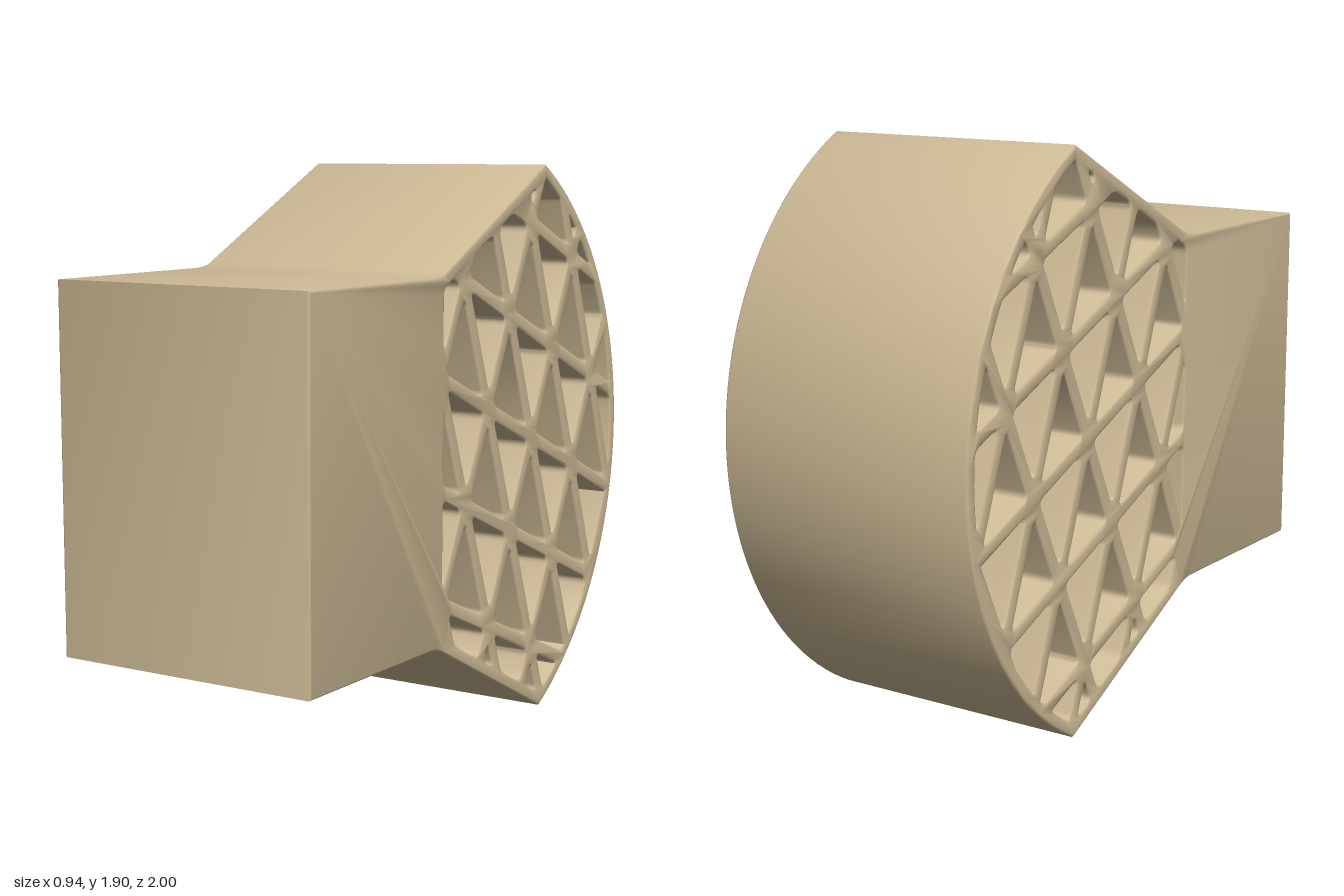
import * as THREE from 'three';
import { toCreasedNormals } from 'three/addons/utils/BufferGeometryUtils.js';

const V = (z, y) => new THREE.Vector2(z, y); // side profile plane: (z, y)
const WIDTH = 0.945, MID = 0.95, RADIUS = 1.077, CENTRE = V(0.077, MID);
const FRAME = 0.042, HALF_BAR = 0.024, BEVEL = 0.008;

// Keep the part of a convex polygon where dot(q - p, n) >= offset
function clip(poly, p, n, offset) {
  const out = [];
  poly.forEach((q, i) => {
    const r = poly[(i + 1) % poly.length];
    const dq = q.clone().sub(p).dot(n) - offset;
    const dr = r.clone().sub(p).dot(n) - offset;
    if (dq >= 0) out.push(q);
    if (dq * dr < 0) out.push(q.clone().lerp(r, dq / (dq - dr)));
  });
  return out;
}

// Soften the sharp corners of a polygon
function roundCorners(poly, radius) {
  const out = [], n = poly.length;
  poly.forEach((p, i) => {
    const toPrev = poly[(i + n - 1) % n].clone().sub(p);
    const toNext = poly[(i + 1) % n].clone().sub(p);
    const cosTurn = -toPrev.dot(toNext) / (toPrev.length() * toNext.length());
    if (cosTurn > 0.96) { out.push(p); return; }
    const s = p.clone().add(toPrev.clone().setLength(Math.min(radius, toPrev.length() * 0.4)));
    const e = p.clone().add(toNext.clone().setLength(Math.min(radius, toNext.length() * 0.4)));
    out.push(...new THREE.QuadraticBezierCurve(s, p, e).getPoints(4));
  });
  return out;
}

// Outer profile: square block, flared neck and curved back
function outline() {
  const shape = new THREE.Shape();
  const tip = Math.atan2(MID, -0.43 - CENTRE.x);
  shape.moveTo(1, 1.555);
  shape.lineTo(0.32, 1.555);
  shape.quadraticCurveTo(0.285, 1.555, 0.24, 1.565 + 0.0);
  shape.lineTo(-0.43, 1.9);
  for (let i = 1; i <= 48; i++) {
    const t = tip + (i / 48) * 2 * (Math.PI - tip);
    shape.lineTo(CENTRE.x + RADIUS * Math.cos(t), CENTRE.y + RADIUS * Math.sin(t));
  }
  shape.lineTo(0.24, 0.335);
  shape.quadraticCurveTo(0.285, 0.355, 0.32, 0.355);
  shape.lineTo(1, 0.355);
  return shape;
}

// Region inside the frame that holds the lattice
function latticeRegion() {
  let poly = [];
  for (let i = 0; i < 120; i++) {
    const t = (i / 120) * Math.PI * 2, r = RADIUS - FRAME;
    poly.push(V(CENTRE.x + r * Math.cos(t), CENTRE.y + r * Math.sin(t)));
  }
  poly = clip(poly, V(0.245, 0), V(-1, 0), 0);
  poly = clip(poly, V(-0.43, 0), V(-0.5, 1).normalize(), FRAME);
  return clip(poly, V(-0.43, 1.9), V(-0.5, -1).normalize(), FRAME);
}

// Triangular openings between three families of slanted bars
function latticeHoles() {
  const region = latticeRegion(), holes = [];
  const origin = V(-0.19, 1.406), a = V(-0.305, -0.131), b = V(0.145, -0.303);
  const node = (i, j) => origin.clone().addScaledVector(a, i).addScaledVector(b, j);
  for (let i = -6; i <= 8; i++) for (let j = -6; j <= 8; j++) {
    for (const third of [node(i + 1, j), node(i, j + 1)]) {
      const tri = [node(i, j), third, node(i + 1, j + 1)];
      let cell = region;
      tri.forEach((p, k) => {
        const edge = tri[(k + 1) % 3].clone().sub(p);
        const normal = V(-edge.y, edge.x).normalize();
        if (normal.dot(tri[(k + 2) % 3].clone().sub(p)) < 0) normal.negate();
        cell = clip(cell, p, normal, HALF_BAR);
      });
      if (cell.length > 2 && Math.abs(THREE.ShapeUtils.area(cell)) > 0.0006) {
        holes.push(new THREE.Path(roundCorners(cell, 0.025)));
      }
    }
  }
  return holes;
}

export function createModel() {
  const group = new THREE.Group();
  const shape = outline();
  shape.holes = latticeHoles();
  // Extrude the side profile across the width with softly rounded rims
  const geometry = new THREE.ExtrudeGeometry(shape, {
    depth: WIDTH - 2 * BEVEL, curveSegments: 8, bevelEnabled: true,
    bevelThickness: BEVEL, bevelSize: BEVEL, bevelOffset: -BEVEL, bevelSegments: 2,
  });
  geometry.translate(0, 0, -WIDTH / 2 + BEVEL);
  geometry.rotateY(-Math.PI / 2);
  const body = new THREE.Mesh(
    toCreasedNormals(geometry, 0.8),
    new THREE.MeshStandardMaterial({ color: 0xcbb994 }),
  );
  body.name = 'blockWithLatticeHead';
  group.add(body);
  return group;
}
